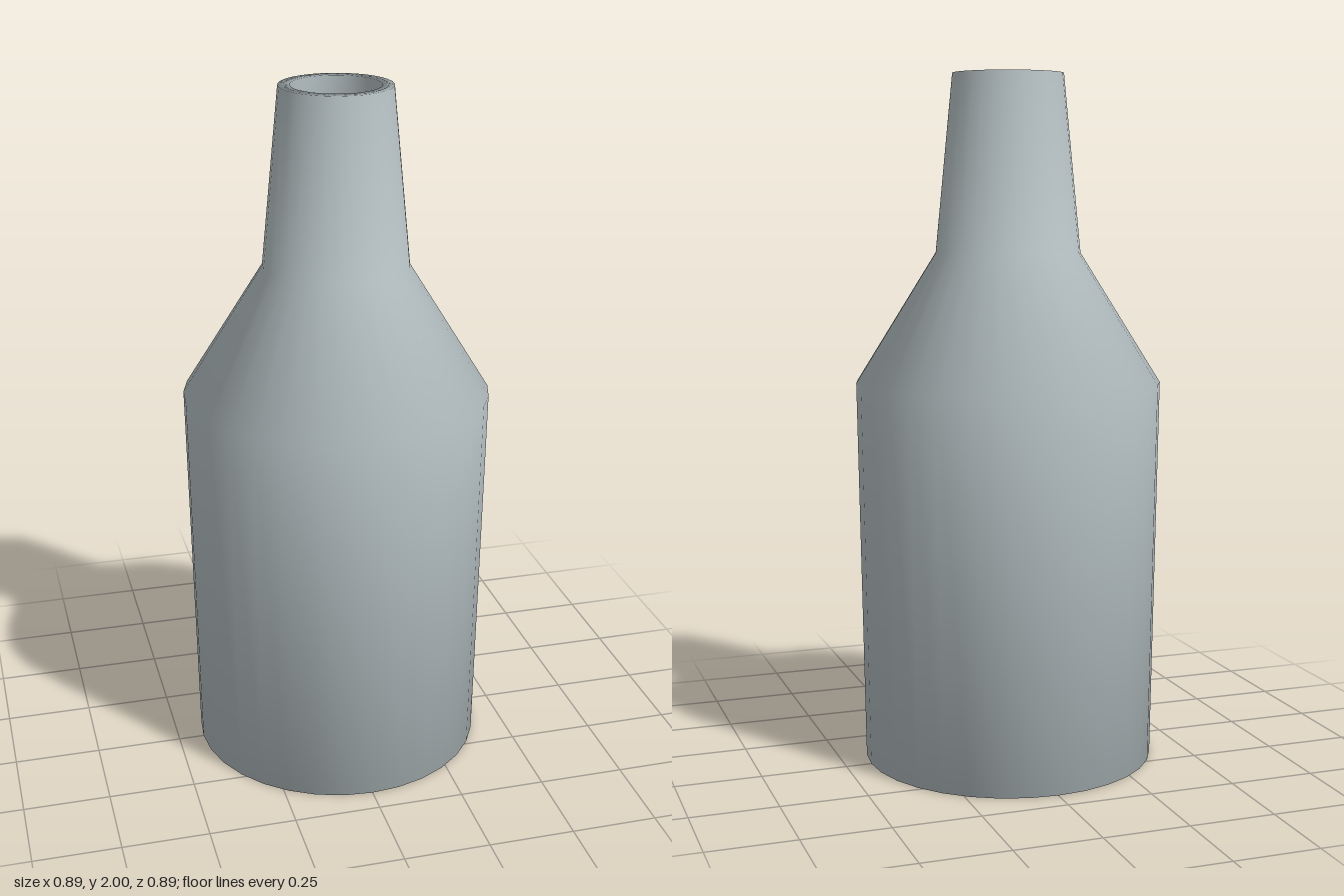
import * as THREE from 'three';

export function createModel() {
  const group = new THREE.Group();
  group.name = 'bottle';

  const glassGrey = new THREE.MeshStandardMaterial({ color: 0xb6c1c4 });
  glassGrey.name = 'glassGrey';

  // Closed half section: base, outer wall, lip, then inner wall down to the floor
  const profile = [
    [0, 0], [0.425, 0],                      // base
    [0.443, 1.115], [0.21, 1.49], [0.16, 2], // body, shoulder, neck
    [0.127, 2],                              // lip
    [0.176, 1.48], [0.41, 1.105],            // inside of neck and shoulder
    [0.392, 0.033], [0, 0.033],              // inside of body, floor
  ].map(([r, y]) => new THREE.Vector2(r, y));

  const body = new THREE.Mesh(new THREE.LatheGeometry(profile, 32), glassGrey);
  body.name = 'bottleBody';
  group.add(body);

  return group;
}
